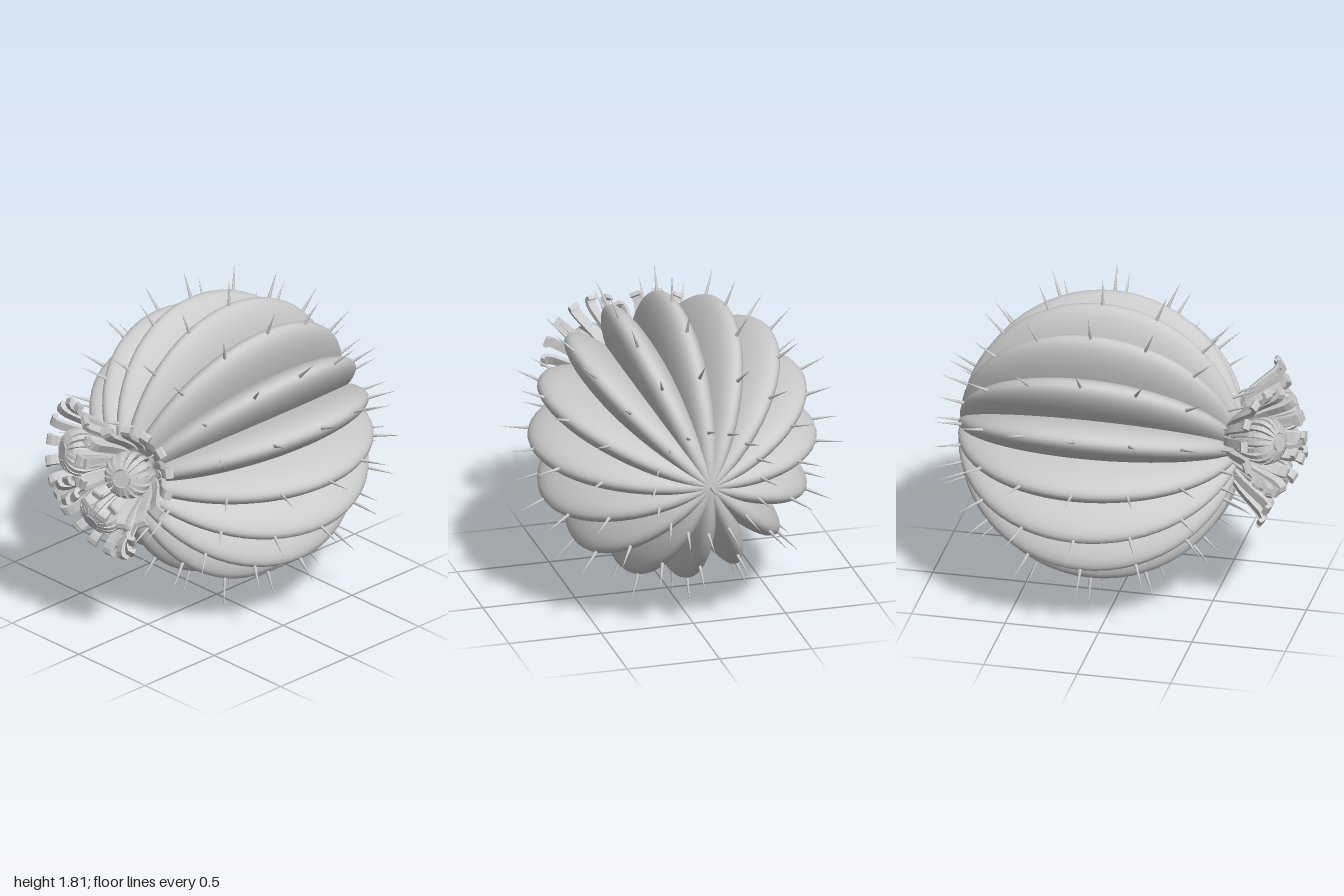
import * as THREE from 'three';

const RIBS = 16, R = 0.755;
const CENTER = new THREE.Vector3(0, 0.91, -0.09);
const mat = new THREE.MeshStandardMaterial({ color: 0xcccccc });
const flatMat = new THREE.MeshStandardMaterial({ color: 0xcccccc, flatShading: true, side: THREE.DoubleSide });

function mesh(name, geometry, material = mat) {
  const m = new THREE.Mesh(geometry, material);
  m.name = name;
  return m;
}

// One rib: an elliptical crest section that shrinks towards both poles on the z axis
function ribGeometry() {
  const ACROSS = 14, ALONG = 32, edge = 1.245;
  const pos = [], index = [];
  for (let i = 0; i <= ALONG; i++) {
    const phi = (i / ALONG) * Math.PI;
    const s = Math.sin(phi), z = R * Math.cos(phi);
    for (let j = 0; j <= ACROSS; j++) {
      const t = (j / ACROSS * 2 - 1) * edge;
      pos.push((0.4 + 0.355 * Math.cos(t)) * s, 0.108 * Math.sin(t) * s, z);
      if (i < ALONG && j < ACROSS) {
        const a = i * (ACROSS + 1) + j, b = a + ACROSS + 1;
        index.push(a, b, a + 1, a + 1, b, b + 1);
      }
    }
  }
  const g = new THREE.BufferGeometry();
  g.setAttribute('position', new THREE.Float32BufferAttribute(pos, 3));
  g.setIndex(index);
  g.computeVertexNormals();
  return g;
}

// A thick strip following a (radius, height) profile, narrower at its base
function petalGeometry(profile, thickness, width, baseWidth) {
  const curve = new THREE.SplineCurve(profile.map(([r, h]) => new THREE.Vector2(r, h)));
  const outer = [], inner = [];
  const n = 10;
  for (let i = 0; i <= n; i++) {
    const p = curve.getPoint(i / n), t = curve.getTangent(i / n);
    outer.push(new THREE.Vector2(p.x + t.y * thickness / 2, p.y - t.x * thickness / 2));
    inner.unshift(new THREE.Vector2(p.x - t.y * thickness / 2, p.y + t.x * thickness / 2));
  }
  const g = new THREE.ExtrudeGeometry(new THREE.Shape([...outer, ...inner]),
    { depth: 1, bevelEnabled: false, steps: 1 });
  g.translate(0, 0, -0.5);
  const p = g.attributes.position;
  const reach = Math.max(...profile.map(([r]) => r));
  for (let i = 0; i < p.count; i++) {
    const k = THREE.MathUtils.clamp(p.getX(i) / reach, 0, 1);
    p.setZ(i, p.getZ(i) * THREE.MathUtils.lerp(baseWidth, width, k));
  }
  g.computeVertexNormals();
  return g;
}

const outerPetal = petalGeometry(
  [[0.03, 0], [0.12, 0.07], [0.175, 0.17], [0.215, 0.265], [0.25, 0.3], [0.275, 0.285]], 0.024, 0.055, 0.03);
const innerPetal = petalGeometry(
  [[0.03, 0.02], [0.085, 0.12], [0.115, 0.22], [0.1, 0.29], [0.045, 0.32]], 0.018, 0.026, 0.01);

function ring(name, geometry, count, offset) {
  const g = new THREE.Group();
  g.name = name + 's';
  for (let i = 0; i < count; i++) {
    const m = mesh(name, geometry, flatMat);
    m.rotation.y = ((i + offset) / count) * Math.PI * 2;
    g.add(m);
  }
  return g;
}

// Flower built along +y, then turned to its own axis
function flower(base, axis) {
  const g = new THREE.Group();
  g.name = 'flower';
  g.add(ring('outerPetal', outerPetal, 14, 0.5));
  g.add(ring('innerPetal', innerPetal, 18, 0));
  const core = mesh('flowerCore', new THREE.CylinderGeometry(0.045, 0.035, 0.33, 16));
  core.position.y = 0.165;
  g.add(core);
  g.position.set(...base);
  g.quaternion.setFromUnitVectors(new THREE.Vector3(0, 1, 0), new THREE.Vector3(...axis).normalize());
  return g;
}

export function createModel() {
  const model = new THREE.Group();
  model.name = 'cactus';

  // Ribbed body
  const body = new THREE.Group();
  body.name = 'body';
  body.position.copy(CENTER);
  const ribGeo = ribGeometry();
  for (let i = 0; i < RIBS; i++) {
    const rib = mesh('rib', ribGeo);
    rib.rotation.z = (i / RIBS) * Math.PI * 2;
    body.add(rib);
  }
  model.add(body);

  // Spines along every crest, and one at each pole
  const spines = new THREE.Group();
  spines.name = 'spines';
  spines.position.copy(CENTER);
  const spineGeo = new THREE.ConeGeometry(0.013, 0.21, 8);
  spineGeo.translate(0, 0.8, 0);
  const up = new THREE.Vector3(0, 1, 0);
  const addSpine = (dir) => {
    const s = mesh('spine', spineGeo);
    s.quaternion.setFromUnitVectors(up, dir);
    spines.add(s);
  };
  for (let i = 0; i < RIBS; i++) {
    const a = (i / RIBS) * Math.PI * 2;
    for (let k = 1; k < 8; k++) {
      const phi = (k / 8) * Math.PI;
      addSpine(new THREE.Vector3(Math.cos(a) * Math.sin(phi), Math.sin(a) * Math.sin(phi), Math.cos(phi)));
    }
  }
  addSpine(new THREE.Vector3(0, 0, 1));
  addSpine(new THREE.Vector3(0, 0, -1));
  model.add(spines);

  // Three flowers around the front pole
  for (const side of [-1, 1]) model.add(flower([0.095 * side, 1.01, 0.61], [0.39 * side, 0.21, 0.9]));
  model.add(flower([-0.01, 0.87, 0.6], [0, -0.4, 0.92]));

  return model;
}
